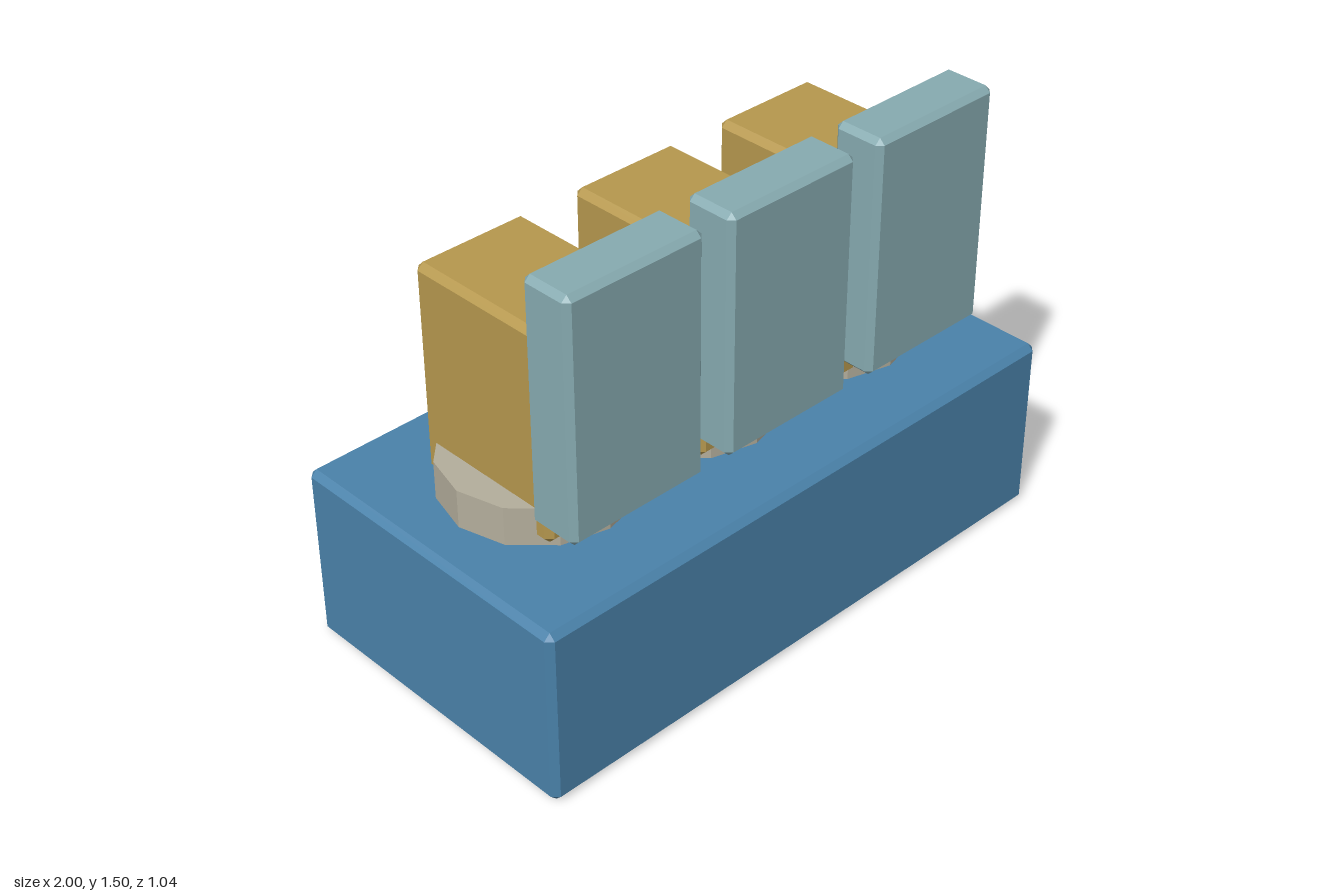
import * as THREE from 'three';
import { ConvexGeometry } from 'three/addons/geometries/ConvexGeometry.js';

// Box with flat chamfers on every edge
function chamferBox(w, h, d, c) {
  const points = [];
  for (const x of [-1, 1]) for (const y of [-1, 1]) for (const z of [-1, 1]) {
    const a = w / 2, b = h / 2, e = d / 2;
    points.push(
      new THREE.Vector3(x * a, y * (b - c), z * (e - c)),
      new THREE.Vector3(x * (a - c), y * b, z * (e - c)),
      new THREE.Vector3(x * (a - c), y * (b - c), z * e)
    );
  }
  return new ConvexGeometry(points);
}

function material(name, color) {
  const m = new THREE.MeshStandardMaterial({ color, flatShading: true });
  m.name = name;
  return m;
}

export function createModel() {
  const blue = material('blue', 0x4a82aa);
  const gold = material('gold', 0xb6984e);
  const teal = material('pale teal', 0x87abb1);
  const stone = material('warm grey', 0xb4ae9c);

  const model = new THREE.Group();
  model.name = 'seatedBlocks';
  const add = (parent, name, geometry, mat, x, y, z) => {
    const mesh = new THREE.Mesh(geometry, mat);
    mesh.name = name;
    mesh.position.set(x, y, z);
    parent.add(mesh);
  };

  // Base block
  add(model, 'base', chamferBox(2, 0.59, 1.04, 0.02), blue, 0, 0.295, 0);

  // Three units: twelve-sided collar, upright body and front panel
  const collar = new THREE.CylinderGeometry(0.295, 0.295, 0.125, 12);
  const body = chamferBox(0.385, 0.68, 0.52, 0.02);
  const panel = chamferBox(0.483, 0.78, 0.173, 0.018);
  ['right', 'middle', 'left'].forEach((side, i) => {
    const unit = new THREE.Group();
    unit.name = side + 'Unit';
    unit.position.x = (i - 1) * 0.575;
    add(unit, 'collar', collar, stone, 0, 0.6625, 0);
    add(unit, 'body', body, gold, 0, 0.957, 0);
    add(unit, 'frontPanel', panel, teal, 0, 1.115, 0.332);
    model.add(unit);
  });

  return model;
}
